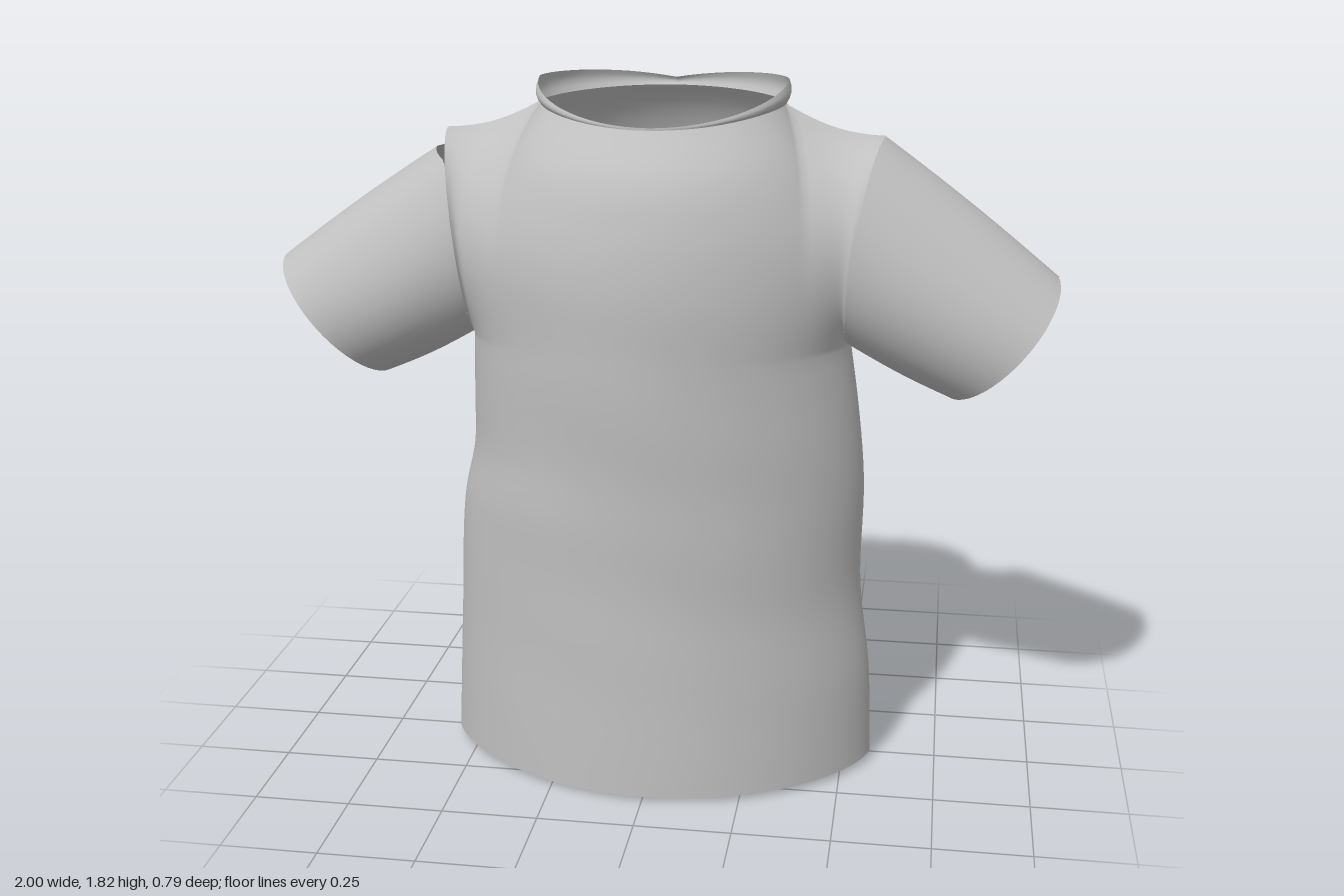
import * as THREE from 'three';

const cloth = new THREE.MeshStandardMaterial({ color: 0xc0c0c0, side: THREE.DoubleSide });
cloth.name = 'grey cloth';

const V = (x, y, z) => new THREE.Vector3(x, y, z);
const lerp = THREE.MathUtils.lerp;
const HALF_PI = Math.PI / 2;
const SEAM_Z = 0.03;   // side seams
const TOP_Z = -0.01;   // shoulder seams
const ARMPIT_Y = 1.17;
const FLARE = 1.15;    // sharpness of the body section towards the side seams

// Smooth function of height through a few samples
function byHeight(ys, values) {
  const curve = new THREE.CubicInterpolant(ys, values, 1);
  return (y) => curve.evaluate(y)[0];
}
const frontZ = byHeight([0, 0.5, 1, 1.17, 1.4, 1.5, 1.62, 1.73], [0.37, 0.365, 0.385, 0.395, 0.395, 0.38, 0.34, 0.26]);
const backZ = byHeight([0, 0.5, 0.8, 1.05, 1.17, 1.35, 1.5, 1.6, 1.72, 1.78],
  [-0.345, -0.35, -0.37, -0.365, -0.37, -0.395, -0.365, -0.345, -0.29, -0.24]);
const leftX = byHeight([0, 0.25, 0.5, 0.8, 1, 1.17], [0.575, 0.565, 0.535, 0.535, 0.515, 0.49]);
const rightX = byHeight([0, 0.4, 0.72, 0.86, 1, 1.17], [0.57, 0.55, 0.53, 0.5, 0.495, 0.49]);

// Surface from f(u, v), with u and v in 0..1
function sheet(name, f, nu, nv, flip = false) {
  const positions = [], index = [];
  for (let j = 0; j <= nv; j++) {
    for (let i = 0; i <= nu; i++) positions.push(...f(i / nu, j / nv).toArray());
  }
  for (let j = 0; j < nv; j++) {
    for (let i = 0; i < nu; i++) {
      const a = j * (nu + 1) + i, b = a + 1, c = a + nu + 1, d = c + 1;
      if (flip) index.push(a, c, b, b, c, d);
      else index.push(a, b, c, b, d, c);
    }
  }
  const geometry = new THREE.BufferGeometry();
  geometry.setAttribute('position', new THREE.Float32BufferAttribute(positions, 3));
  geometry.setIndex(index);
  geometry.computeVertexNormals();
  const mesh = new THREE.Mesh(geometry, cloth);
  mesh.name = name;
  return mesh;
}

// Quarter of the neck opening: t = 0 at the middle, 1 at the shoulder
function neck(t, front) {
  const a = t * HALF_PI;
  const y = lerp(front ? 1.73 : 1.78, 1.765, Math.sin(a) ** 2);
  return V(0.31 * Math.sin(a), y, TOP_Z + (front ? 0.27 : -0.23) * Math.cos(a));
}

// Neck edge followed by the slightly sagging shoulder seam
function topEdge(t, front) {
  if (t < 0.6) return neck(t / 0.6, front);
  const k = (t - 0.6) / 0.4;
  const p = neck(1, front).lerp(V(0.56, 1.69, TOP_Z), k);
  p.y -= 0.018 * Math.sin(Math.PI * k);
  return p;
}

// Half of the armhole: v = 0 at the armpit, 1 at the shoulder
function armhole(v, front) {
  const a = Math.PI * (1 - v), s = Math.sin(a), c = Math.cos(a);
  return V(0.525 + 0.035 * c - 0.03 * s, 1.43 + 0.26 * c,
    lerp(SEAM_Z, TOP_Z, v * v) + (front ? 0.2 : -0.24) * s);
}

// Lens-shaped body section
function section(t, y, width, front, power) {
  const a = t * HALF_PI;
  const depth = (front ? frontZ(y) : backZ(y)) - SEAM_Z;
  return V(width * Math.sin(a), y, SEAM_Z + depth * Math.max(0, Math.cos(a)) ** power);
}

// Chest: body sections pulled out to the armhole, gathered into the neck and shoulder edge
function chest(u, v, front) {
  const row = (k) => {
    const arm = armhole(k, front), near = u ** 3;
    const p = section(u, lerp(ARMPIT_Y, front ? 1.73 : 1.78, k), arm.x, front, FLARE);
    p.y = lerp(p.y, arm.y, near);
    p.z += (arm.z - SEAM_Z) * near;
    return p;
  };
  const gather = topEdge(u, front).sub(row(1));
  return row(v).addScaledVector(gather, v ** 3);
}

// Front or back panel, from the hem up to the neck
function panel(name, front) {
  const split = 0.55;
  return sheet(name, (s, v) => {
    const side = s < 0.5 ? -1 : 1, u = Math.abs(2 * s - 1);
    let p;
    if (v <= split) {
      const k = v / split, y = k * ARMPIT_Y;
      // the hem is twisted, so each quarter flattens differently
      const hem = side > 0 ? (front ? 1.35 : 1.0) : (front ? 1.45 : 1.9);
      const power = lerp(FLARE, hem, (1 - k) ** 1.5);
      p = section(u, y, side > 0 ? leftX(y) : rightX(y), front, power);
      p.y += (1 - k) * lerp(front ? 0.015 : 0.004, 0.025, u * u);
    } else {
      p = chest(u, (v - split) / (1 - split), front);
    }
    p.x *= side;
    // soft folds, fading at every edge
    const fade = Math.sin(Math.PI * v) * (1 - u * u);
    p.z += 0.003 * fade * Math.sin(9 * p.x + 14 * p.y) * Math.cos(5 * p.x - 6 * p.y);
    return p;
  }, 60, 60, !front);
}

// Sleeve from the armhole down to the slanted cuff
function sleeve(name, side) {
  return sheet(name, (s, v) => {
    const front = s < 0.5;
    const k = front ? 2 * s : 2 - 2 * s;
    const start = armhole(k, front);
    const a = Math.PI * (1 - k), c = Math.cos(a), sn = Math.sin(a);
    // open notch at the right shoulder
    if (side < 0) {
      const notch = Math.max(0, (c - 0.75) / 0.25);
      start.x += 0.03 * notch;
      start.y -= 0.05 * notch;
    }
    const bulge = side > 0 ? 0.035 : 0.005;
    const cuff = V(0.865 + 0.135 * c + bulge * sn, 1.2 + 0.153 * c - bulge * sn,
      0.01 + (front ? 0.19 : -0.2) * sn);
    const p = start.lerp(cuff, v);
    const swell = Math.sin(Math.PI * v);
    p.y += 0.007 * c * swell;
    p.z += 0.005 * swell * Math.sin(12 * p.y + 8 * p.x);
    p.x *= side;
    return p;
  }, 48, 16, side > 0);
}

// Thin standing neckband, low at the front and dipping at the middle of the back
function collar() {
  return sheet('collar', (s, v) => {
    const a = s * 2 * Math.PI - Math.PI;
    const front = Math.abs(a) < HALF_PI;
    const t = front ? Math.abs(a) / HALF_PI : 2 - Math.abs(a) / HALF_PI;
    const p = neck(t, front);
    p.x *= Math.sign(a) || 1;
    const height = front ? lerp(0.006, 0.06, t ** 2) : 0.06 - 0.04 * (1 - t) ** 2;
    p.y += height * v;
    const lean = 1 + 0.03 * Math.sin(Math.PI * v) + 0.02 * v * t;
    p.x *= lean;
    p.z = TOP_Z + (p.z - TOP_Z) * (front ? 1 : lean);
    return p;
  }, 64, 4);
}

export function createModel() {
  const shirt = new THREE.Group();
  shirt.name = 'shirt';
  shirt.add(
    panel('frontPanel', true),
    panel('backPanel', false),
    sleeve('leftSleeve', 1),
    sleeve('rightSleeve', -1),
    collar(),
  );
  return shirt;
}
